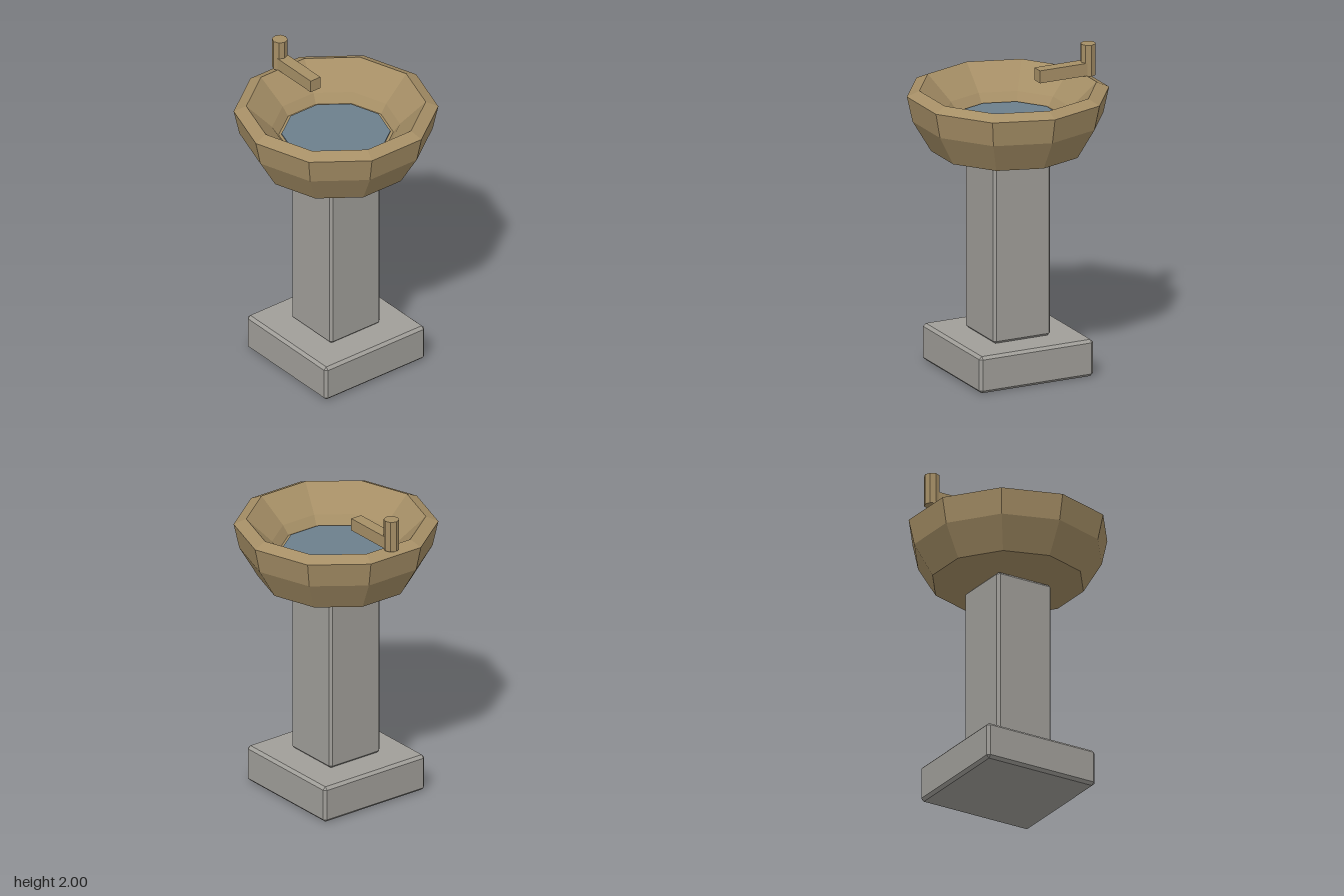
import * as THREE from 'three';
import { ConvexGeometry } from 'three/addons/geometries/ConvexGeometry.js';

const material = (name, color) => {
  const m = new THREE.MeshStandardMaterial({ color });
  m.name = name;
  return m;
};

// Faceted normals for low-poly parts
function faceted(geometry) {
  const g = geometry.index ? geometry.toNonIndexed() : geometry;
  g.computeVertexNormals();
  return g;
}

// Box with a single flat chamfer on every edge
function chamferedBox(w, h, d, c) {
  const points = [];
  for (const x of [-1, 1]) for (const y of [-1, 1]) for (const z of [-1, 1]) {
    for (let axis = 0; axis < 3; axis++) {
      const inset = [c, c, c];
      inset[axis] = 0;
      points.push(new THREE.Vector3(
        x * (w / 2 - inset[0]), y * (h / 2 - inset[1]), z * (d / 2 - inset[2])));
    }
  }
  return new ConvexGeometry(points);
}

export function createModel() {
  const model = new THREE.Group();
  model.name = 'drinkingFountain';
  const stone = material('stone', 0xa09e99);
  const bronze = material('bronze', 0xa68f66);
  const water = material('water', 0x6c7f8c);

  const add = (name, geometry, mat, y = 0, z = 0) => {
    const mesh = new THREE.Mesh(geometry, mat);
    mesh.name = name;
    mesh.position.set(0, y, z);
    model.add(mesh);
  };

  // Stone foot and column
  add('base', chamferedBox(0.78, 0.235, 0.78, 0.018), stone, 0.1175);
  add('column', chamferedBox(0.39, 1.14, 0.39, 0.016), stone, 0.805);

  // Ten-sided bowl: underside, outer wall, sloping rim, inner wall, floor
  const profile = [
    [0, 1.375], [0.16, 1.375], [0.475, 1.415], [0.59, 1.61], [0.625, 1.77],
    [0.548, 1.805], [0.39, 1.65], [0.35, 1.592], [0, 1.592],
  ].map(([r, y]) => new THREE.Vector2(r, y));
  add('bowl', faceted(new THREE.LatheGeometry(profile, 10, Math.PI / 2)), bronze);

  // Water surface
  add('water', faceted(new THREE.CylinderGeometry(0.332, 0.332, 0.008, 10, 1, false, Math.PI / 2)), water, 1.597);

  // Tap at the back of the rim
  add('spout', new THREE.BoxGeometry(0.076, 0.08, 0.36), bronze, 1.845, -0.38);
  add('tapPost', faceted(new THREE.CylinderGeometry(0.048, 0.048, 0.2, 8)), bronze, 1.9, -0.55);

  return model;
}
